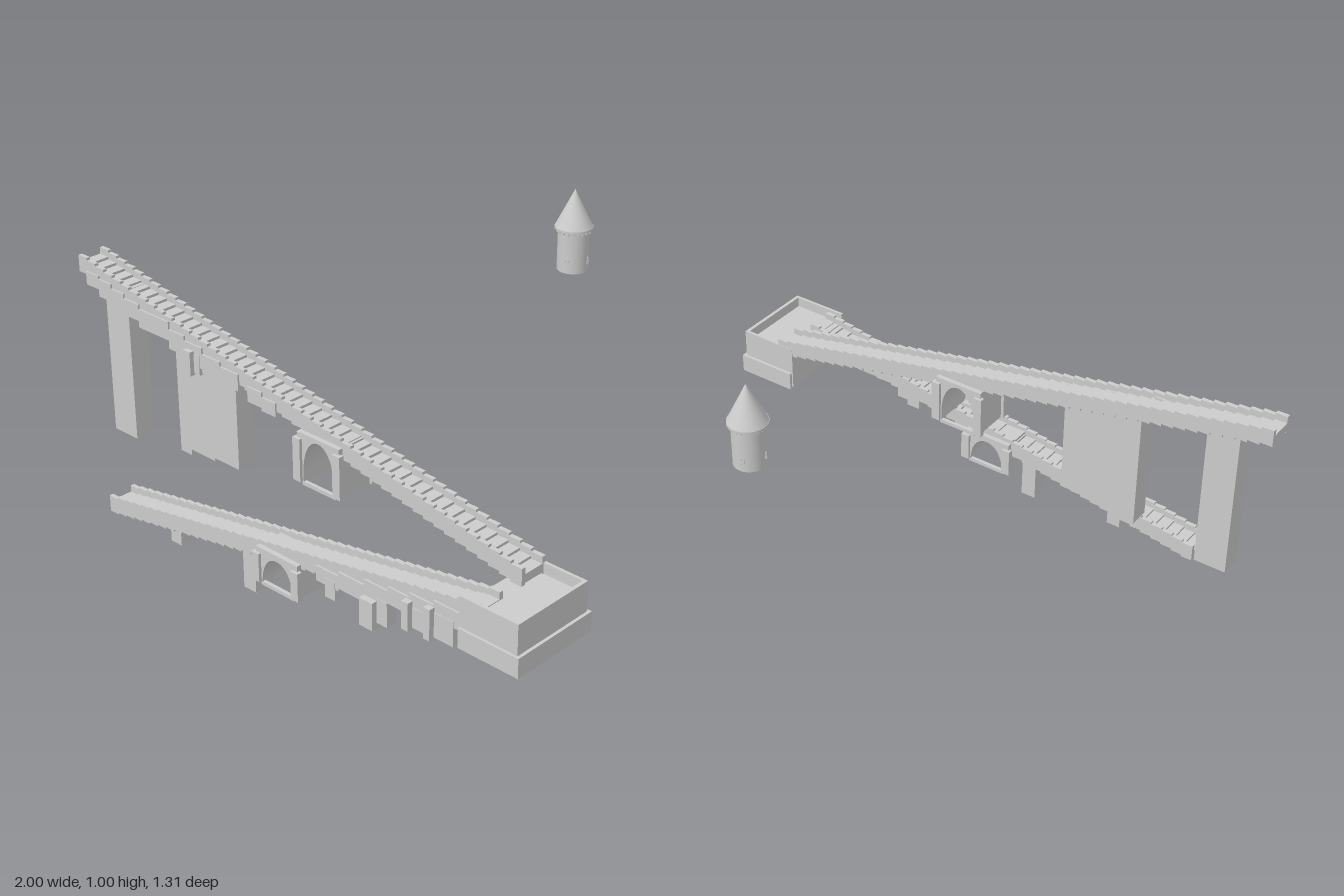
import * as THREE from 'three';

const mat = new THREE.MeshStandardMaterial({ color: 0xcccccc, side: THREE.DoubleSide });

function add(parent, name, geometry) {
  const mesh = new THREE.Mesh(geometry, mat);
  mesh.name = name;
  parent.add(mesh);
  return mesh;
}

// Box given by its lower and upper limits on each axis
function box(parent, name, x0, x1, y0, y1, z0, z1) {
  const mesh = add(parent, name, new THREE.BoxGeometry(x1 - x0, y1 - y0, z1 - z0));
  mesh.position.set((x0 + x1) / 2, (y0 + y1) / 2, (z0 + z1) / 2);
  return mesh;
}

// Outline in x/y pushed out between two z limits
function slab(parent, name, shape, z0, z1) {
  const geo = new THREE.ExtrudeGeometry(shape, { depth: z1 - z0, bevelEnabled: false, curveSegments: 16 });
  const mesh = add(parent, name, geo);
  mesh.position.z = z0;
  return mesh;
}

// Stepped band: top and underside both climb in n equal steps
function steppedBand(x0, x1, yA, yB, thick, n) {
  const pts = [], dx = (x1 - x0) / n, dy = (yB - yA) / (n - 1);
  for (let i = 0; i < n; i++) {
    pts.push(new THREE.Vector2(x0 + i * dx, yA + i * dy), new THREE.Vector2(x0 + (i + 1) * dx, yA + i * dy));
  }
  const under = pts.map(p => new THREE.Vector2(p.x, p.y - thick)).reverse();
  return new THREE.Shape([...pts, ...under]);
}

// Stair flight with a tread band between two parapets
function flight(parent, name, x0, x1, yA, yB, zMid, n) {
  const g = new THREE.Group();
  g.name = name;
  parent.add(g);
  slab(g, 'treads', steppedBand(x0, x1, yA - 0.022, yB - 0.022, 0.028, n), zMid - 0.037, zMid + 0.037);
  for (const s of [-1, 1]) {
    const z = zMid + s * 0.043;
    slab(g, 'parapet', steppedBand(x0, x1, yA, yB, 0.056, n), z - 0.007, z + 0.007);
  }
  return g;
}

// Arched passage running along z, with corner posts and sill bars
function archway(parent, name, y0, y1, spring, apex, zMid) {
  const g = new THREE.Group();
  g.name = name;
  parent.add(g);
  const s = new THREE.Shape();
  s.moveTo(0, y0);
  s.lineTo(0.024, y0);
  s.lineTo(0.024, spring);
  s.bezierCurveTo(0.028, spring + (apex - spring) * 0.65, 0.055, apex, 0.087, apex);
  s.bezierCurveTo(0.119, apex, 0.146, spring + (apex - spring) * 0.65, 0.15, spring);
  s.lineTo(0.15, y0);
  s.lineTo(0.172, y0);
  s.lineTo(0.172, y1);
  s.lineTo(0, y1);
  s.closePath();
  slab(g, 'archBody', s, zMid - 0.066, zMid + 0.066);
  for (const side of [-1, 1]) {
    for (const x of [0.005, 0.168]) {
      const z = zMid + side * 0.067;
      box(g, 'cornerPost', x - 0.015, x + 0.015, y0, y1 - 0.018, z - 0.009, z + 0.009);
    }
    const zb = zMid + side * 0.06;
    box(g, 'sillBar', 0.018, 0.156, y0 - 0.012, y0, zb - 0.006, zb + 0.006);
  }
}

// Rows of [x0, x1, bottom, top] become boxes between two z limits
function blocks(parent, name, rows, z0, z1) {
  for (const [x0, x1, y0, y1] of rows) box(parent, name, x0, x1, y0, y1, z0, z1);
}

function tower() {
  const g = new THREE.Group();
  g.name = 'tower';
  g.position.set(0.16, 0, -0.6);
  add(g, 'towerWall', new THREE.CylinderGeometry(0.05, 0.05, 0.14, 40)).position.y = 0.802;
  add(g, 'eaves', new THREE.CylinderGeometry(0.061, 0.061, 0.008, 40)).position.y = 0.874;
  add(g, 'coneRoof', new THREE.ConeGeometry(0.06, 0.122, 40)).position.y = 0.939;
  // Corbels under the eaves
  for (let i = 0; i < 20; i++) {
    const a = i * Math.PI / 10;
    const c = add(g, 'corbel', new THREE.BoxGeometry(0.007, 0.01, 0.008));
    c.position.set(Math.sin(a) * 0.052, 0.866, Math.cos(a) * 0.052);
    c.rotation.y = a;
  }
  // Slit window frames
  const frame = new THREE.Shape().absarc(0, 0.008, 0.006, 0, Math.PI).absarc(0, -0.008, 0.006, Math.PI, 2 * Math.PI);
  frame.holes.push(new THREE.Path().absarc(0, 0.008, 0.004, 0, Math.PI).absarc(0, -0.008, 0.004, Math.PI, 2 * Math.PI));
  const geo = new THREE.ExtrudeGeometry(frame, { depth: 0.003, bevelEnabled: false, curveSegments: 8 });
  for (let i = 0; i < 4; i++) {
    const a = 0.3 + i * Math.PI / 2;
    const w = add(g, 'windowFrame', geo);
    w.position.set(Math.sin(a) * 0.0485, 0.767, Math.cos(a) * 0.0485);
    w.rotation.y = a;
  }
  return g;
}

export function createModel() {
  const model = new THREE.Group();
  model.name = 'stairBridge';
  const zU = 0.4, zL = 0.577;

  // Two flights meeting at the landing
  const upper = flight(model, 'upperFlight', -1, 0.845, 0.768, 0.386, zU, 46);
  const lower = flight(model, 'lowerFlight', -0.7, 0.845, 0.083, 0.355, zL, 40);

  // Landing with plinth and rim
  const landing = new THREE.Group();
  landing.name = 'landing';
  model.add(landing);
  box(landing, 'plinth', 0.79, 1, 0.205, 0.268, 0.338, 0.645);
  box(landing, 'landingBody', 0.785, 0.99, 0.21, 0.33, 0.348, 0.637);
  box(landing, 'rimOuter', 0.978, 0.99, 0.33, 0.365, 0.348, 0.637);
  box(landing, 'rimBack', 0.785, 0.978, 0.33, 0.365, 0.348, 0.358);
  box(landing, 'rimFront', 0.785, 0.978, 0.33, 0.365, 0.627, 0.637);

  archway(model, 'upperArch', 0.345, 0.505, 0.385, 0.492, zU);
  archway(model, 'lowerArch', 0.082, 0.195, 0.09, 0.175, zL);

  // Piers under the upper flight
  blocks(upper, 'pier', [
    [-0.893, -0.785, 0.18, 0.705],
    [-0.565, -0.515, 0.22, 0.635],
    [-0.515, -0.405, 0.24, 0.62],
    [-0.405, -0.295, 0.25, 0.6],
  ], zU - 0.035, zU + 0.035);

  // Piers under the lower flight
  blocks(lower, 'pier', [
    [-0.7, -0.65, 0.025, 0.045],
    [-0.422, -0.375, 0.025, 0.085],
    [-0.092, -0.04, 0, 0.15],
  ], zL - 0.036, zL + 0.036);

  // Rough ledges along the front of the upper flight
  blocks(upper, 'ledge', [
    [-0.96, -0.9, 0.68, 0.725], [-0.9, -0.84, 0.655, 0.715],
    [-0.84, -0.78, 0.63, 0.7], [-0.78, -0.71, 0.63, 0.685],
    [-0.71, -0.57, 0.608, 0.67], [-0.57, -0.5, 0.58, 0.645],
    [-0.5, -0.42, 0.56, 0.63], [-0.42, -0.34, 0.545, 0.61],
    [-0.34, -0.26, 0.54, 0.595], [-0.22, -0.16, 0.52, 0.57],
    [-0.16, -0.1, 0.51, 0.555],
  ], 0.43, 0.456);
  blocks(upper, 'bracket', [[-0.51, -0.485, 0.535, 0.6], [-0.455, -0.43, 0.535, 0.6]], 0.43, 0.458);
  box(upper, 'bracket', -0.485, -0.455, 0.53, 0.61, 0.43, 0.473);

  // Rough ledges and brackets along the front of the lower flight
  blocks(lower, 'ledge', [
    [0.24, 0.33, 0.175, 0.225], [0.33, 0.43, 0.185, 0.24],
    [0.43, 0.52, 0.195, 0.26], [0.52, 0.6, 0.22, 0.275],
    [0.6, 0.69, 0.235, 0.29], [0.69, 0.785, 0.25, 0.305],
  ], 0.6, 0.633);
  blocks(lower, 'bracket', [
    [0.277, 0.317, 0.138, 0.2], [0.48, 0.52, 0.14, 0.22],
    [0.59, 0.668, 0.185, 0.25], [0.695, 0.765, 0.19, 0.27],
  ], 0.6, 0.635);
  blocks(lower, 'corbel', [
    [0.43, 0.48, 0.12, 0.21], [0.59, 0.615, 0.18, 0.27], [0.672, 0.695, 0.185, 0.285],
  ], 0.6, 0.653);

  model.add(tower());
  return model;
}
